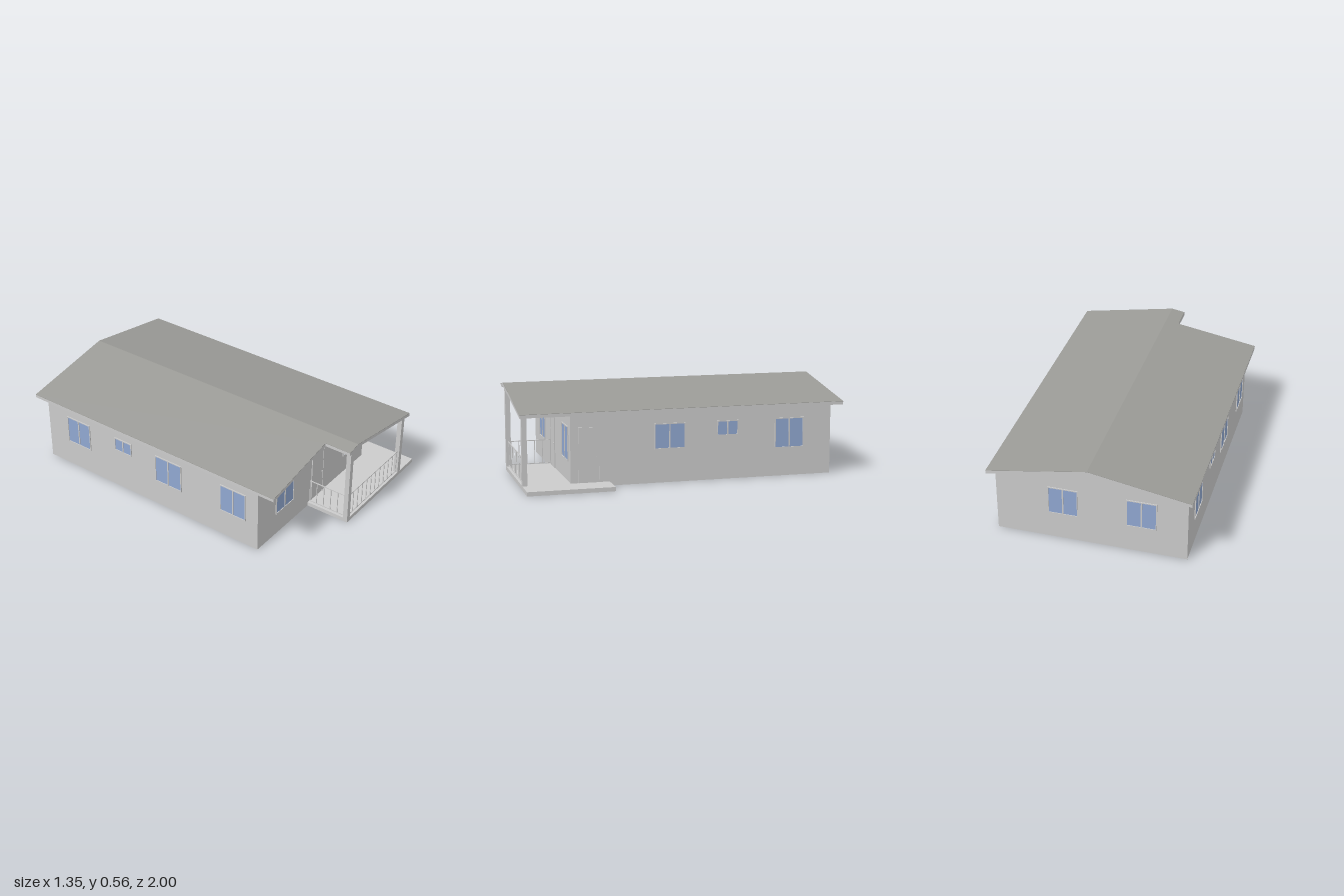
import * as THREE from 'three';

const wallMat = new THREE.MeshStandardMaterial({ name: 'pale grey', color: 0xcbcbcb });
const roofMat = new THREE.MeshStandardMaterial({ name: 'roof grey', color: 0x9b9b97 });
const glassMat = new THREE.MeshStandardMaterial({ name: 'window blue', color: 0x90a7d0 });

const RIDGE = -0.064, LEFT = -0.64, RIGHT = 0.515, FRONT = 0.7, BACK = -0.93, DECK = 0.025;
const roofTop = (x) => 0.556 - 0.174 * Math.abs(x - RIDGE);
const roofUnder = (x) => roofTop(x) - 0.021;

function add(parent, name, geometry, material) {
  const mesh = new THREE.Mesh(geometry, material);
  mesh.name = name;
  parent.add(mesh);
  return mesh;
}

// Box given by its minimum and maximum on each axis
function box(parent, name, x0, x1, y0, y1, z0, z1, material = wallMat) {
  const mesh = add(parent, name, new THREE.BoxGeometry(x1 - x0, y1 - y0, z1 - z0), material);
  mesh.position.set((x0 + x1) / 2, (y0 + y1) / 2, (z0 + z1) / 2);
  return mesh;
}

// Outline in x and y, drawn out along z
function prism(parent, name, points, z0, z1, material) {
  const shape = new THREE.Shape(points.map(([x, y]) => new THREE.Vector2(x, y)));
  const geometry = new THREE.ExtrudeGeometry(shape, { depth: z1 - z0, bevelEnabled: false });
  add(parent, name, geometry, material).position.z = z0;
}

// Roof layer following the pitch, between two heights measured from the roof line
function roofLayer(parent, name, xs, z0, z1, low, high, material) {
  const lower = xs.map((x) => [x, roofTop(x) + low]);
  const upper = xs.map((x) => [x, roofTop(x) + high]).reverse();
  prism(parent, name, [...lower, ...upper], z0, z1, material);
}

// Group lying on one wall; local +z points out of the house
function onWall(parent, name, side, along, y) {
  const group = new THREE.Group();
  group.name = name;
  const place = {
    front: [along, FRONT, 0],
    back: [along, BACK, Math.PI],
    right: [RIGHT, along, Math.PI / 2],
    left: [LEFT, along, -Math.PI / 2],
  }[side];
  group.position.set(place[0], y, place[1]);
  group.rotation.y = place[2];
  parent.add(group);
  return group;
}

function addWindow(parent, side, a, b, y0, y1) {
  const g = onWall(parent, side + 'Window', side, (a + b) / 2, (y0 + y1) / 2);
  const w = Math.abs(b - a) / 2, h = (y1 - y0) / 2, f = 0.006, d = 0.006;
  box(g, 'glass', -w + f, w - f, -h + f, h - f, 0, 0.002, glassMat);
  for (const s of [-1, 1]) {
    box(g, 'frameUpright', s * (w - f / 2) - f / 2, s * (w - f / 2) + f / 2, -h, h, 0, d);
    box(g, 'frameRail', -w + f, w - f, s * (h - f / 2) - f / 2, s * (h - f / 2) + f / 2, 0, d);
  }
  box(g, 'mullion', -0.004, 0.004, -h + f, h - f, 0, d);
}

function addDoor(parent, side, a, b, y0, y1) {
  const g = onWall(parent, side + 'Door', side, (a + b) / 2, y0);
  const w = (b - a) / 2, h = y1 - y0;
  box(g, 'doorLeaf', -w + 0.005, w - 0.005, 0, h - 0.005, 0, 0.003);
  for (const s of [-1, 1]) {
    box(g, 'doorJamb', s * (w - 0.0025) - 0.0025, s * (w - 0.0025) + 0.0025, 0, h, 0, 0.006);
  }
  box(g, 'doorHead', -w, w, h - 0.005, h, 0, 0.006);
  const knob = add(g, 'doorKnob', new THREE.SphereGeometry(0.004, 10, 8), wallMat);
  knob.position.set(w - 0.016, h * 0.47, 0.006);
}

// Railing between two points on the deck, with evenly spaced balusters
function addRailing(parent, name, x0, z0, x1, z1, count) {
  const g = new THREE.Group();
  g.name = name;
  parent.add(g);
  const t = 0.0025;
  for (const y of [0.033, 0.18]) {
    box(g, 'rail', x0 - t, x1 + t, y - t, y + t, z0 - t, z1 + t);
  }
  for (let i = 0; i <= count; i++) {
    const x = x0 + ((x1 - x0) * i) / count, z = z0 + ((z1 - z0) * i) / count;
    box(g, 'baluster', x - 0.002, x + 0.002, 0.033, 0.18, z - 0.002, z + 0.002);
  }
}

export function createModel() {
  const house = new THREE.Group();
  house.name = 'house';

  // Walls with gable ends
  prism(house, 'walls', [
    [LEFT, 0], [RIGHT, 0], [RIGHT, roofUnder(RIGHT)],
    [RIDGE, roofUnder(RIDGE)], [LEFT, roofUnder(LEFT)],
  ], BACK, FRONT, wallMat);

  // Roof: main part over the house, longer part over the porch
  const sections = [
    ['mainRoof', [-0.675, -0.15], 0.83],
    ['porchRoof', [-0.15, RIDGE, 0.547], 1],
  ];
  for (const [name, xs, z1] of sections) {
    roofLayer(house, name + 'Slab', xs, -1, z1, -0.021, -0.002, wallMat);
    roofLayer(house, name + 'Covering', xs, -1, z1, -0.002, 0, roofMat);
  }

  // Porch deck, wrapping round to the side door
  box(house, 'porchDeck', -0.11, RIGHT, 0, DECK, FRONT, 0.985);
  box(house, 'sideDeck', RIGHT, 0.673, 0, DECK, 0.465, 0.985);

  // Porch posts, cut to the pitch
  for (const [x0, x1] of [[-0.11, -0.08], [0.485, RIGHT]]) {
    prism(house, 'porchPost', [
      [x0, DECK], [x1, DECK], [x1, roofUnder(x1)], [x0, roofUnder(x0)],
    ], 0.955, 0.985, wallMat);
  }

  // Railings
  addRailing(house, 'frontRailing', -0.077, 0.97, 0.482, 0.97, 11);
  addRailing(house, 'sideRailing', -0.095, 0.705, -0.095, 0.952, 5);

  // Windows: wall, start, end, bottom, top
  const windows = [
    ['front', -0.459, -0.274, 0.148, 0.356],
    ['front', 0.277, 0.462, 0.148, 0.356],
    ['right', 0, 0.193, 0.203, 0.358],
    ['right', -0.332, -0.198, 0.267, 0.358],
    ['right', -0.754, -0.567, 0.172, 0.358],
    ['left', -0.77, -0.583, 0.172, 0.358],
    ['left', -0.38, -0.246, 0.267, 0.358],
    ['left', -0.06, 0.14, 0.172, 0.358],
    ['left', 0.428, 0.615, 0.172, 0.358],
    ['back', 0.015, 0.198, 0.172, 0.356],
    ['back', -0.457, -0.274, 0.172, 0.356],
  ];
  for (const w of windows) addWindow(house, ...w);

  // Doors
  addDoor(house, 'front', -0.08, 0.048, DECK, 0.355);
  addDoor(house, 'right', 0.524, 0.652, DECK, 0.355);

  return house;
}
